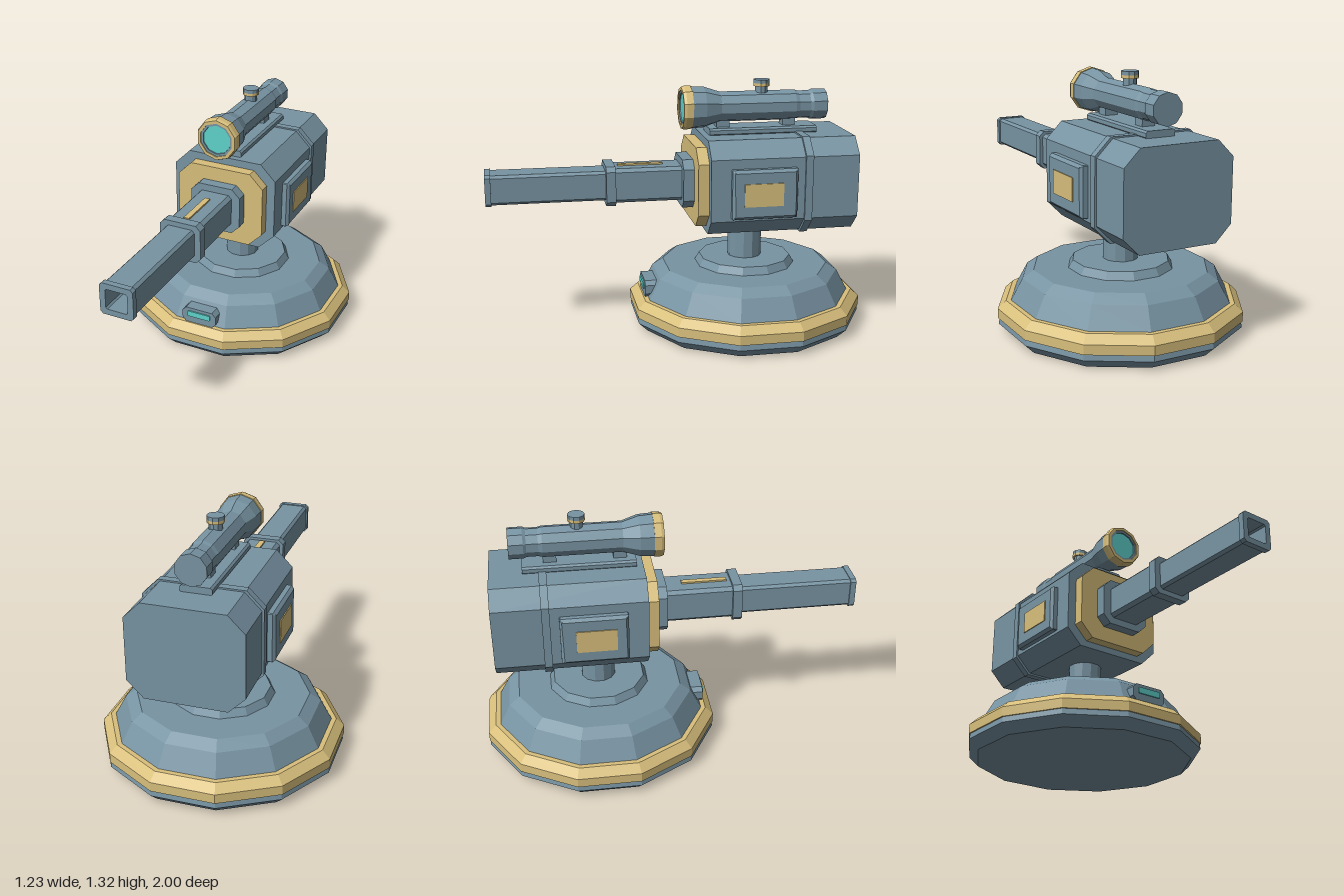
import * as THREE from 'three';

const mat = (name, color) => {
  const m = new THREE.MeshStandardMaterial({ color, flatShading: true });
  m.name = name;
  return m;
};

export function createModel() {
  const slate = mat('slate', 0x7894a3);
  const gold = mat('gold', 0xd8bf7c);
  const cyan = mat('cyan', 0x5fd3cc);
  const model = new THREE.Group();
  model.name = 'turret';
  const BASE_Z = -0.385, BARREL_Y = 0.793, SCOPE_Y = 1.18;

  function add(name, geo, material, x = 0, y = 0, z = 0) {
    const m = new THREE.Mesh(geo, material);
    m.name = name;
    m.position.set(x, y, z);
    model.add(m);
    return m;
  }

  // Rectangle outline with cut corners
  function outline(Type, hw, hh, c) {
    const p = new Type();
    [[hw, c - hh], [hw, hh - c], [hw - c, hh], [c - hw, hh],
      [-hw, hh - c], [-hw, c - hh], [c - hw, -hh], [hw - c, -hh]]
      .forEach(([x, y], i) => (i ? p.lineTo(x, y) : p.moveTo(x, y)));
    p.closePath();
    return p;
  }

  // Cut-corner block running along z, with an optional rectangular bore
  function block(name, hw, hh, c, y, z0, z1, material = slate, bore = null) {
    const s = outline(THREE.Shape, hw, hh, c);
    if (bore) s.holes.push(outline(THREE.Path, ...bore));
    const g = new THREE.ExtrudeGeometry(s, { depth: z1 - z0, bevelEnabled: false });
    return add(name, g, material, 0, y, z0);
  }

  // Twelve-sided turned part; radii are measured to the flats
  function turned(name, pts, material) {
    const k = 1 / Math.cos(Math.PI / 12);
    const g = new THREE.LatheGeometry(
      pts.map(([r, y]) => new THREE.Vector2(r * k, y)), 12, Math.PI / 12);
    return add(name, g, material, 0, 0, BASE_Z);
  }

  // Ten-sided turned part along the sight axis; points are [radius, z]
  function sight(name, pts, material) {
    const g = new THREE.LatheGeometry(pts.map(([r, z]) => new THREE.Vector2(r, z)), 10);
    g.rotateX(Math.PI / 2);
    return add(name, g, material, 0, SCOPE_Y, 0);
  }

  // Pedestal
  turned('baseFoot', [[0, 0], [0.56, 0], [0.61, 0.05], [0.605, 0.08]], slate);
  turned('baseBand', [[0.59, 0.08], [0.613, 0.08], [0.613, 0.13], [0.572, 0.17], [0.54, 0.17]], gold);
  turned('baseDome', [[0.55, 0.165], [0.49, 0.28], [0.435, 0.32], [0, 0.32]], slate);
  turned('baseStep', [[0.262, 0.32], [0.24, 0.36], [0, 0.36]], slate);
  turned('column', [[0.088, 0.35], [0.088, 0.56]], slate);

  // Lamp on the front of the pedestal
  block('lampHousing', 0.1, 0.045, 0.022, 0.215, 0.08, 0.18);
  block('lampGlass', 0.068, 0.016, 0.005, 0.226, 0.18, 0.187, cyan);

  // Main housing
  block('housing', 0.293, 0.248, 0.085, 0.793, -0.92, -0.135);
  block('housingRib', 0.303, 0.257, 0.085, 0.792, -0.67, -0.63);
  block('frontPlate', 0.246, 0.21, 0.075, 0.79, -0.135, -0.078, gold);

  // Barrel
  block('barrelCollar', 0.142, 0.129, 0.045, BARREL_Y, -0.078, -0.02);
  block('barrelRear', 0.095, 0.091, 0.018, BARREL_Y, -0.02, 0.34);
  block('barrelSleeve', 0.113, 0.105, 0.025, BARREL_Y, 0.33, 0.38);
  block('barrelCore', 0.076, 0.074, 0.01, BARREL_Y, 0.38, 0.85);
  block('barrelFront', 0.08, 0.078, 0.014, BARREL_Y, 0.38, 0.97, slate, [0.058, 0.053, 0.008]);
  block('muzzle', 0.088, 0.083, 0.014, BARREL_Y, 0.97, 1, slate, [0.058, 0.053, 0.008]);
  add('barrelStripe', new THREE.BoxGeometry(0.03, 0.009, 0.24), gold, 0, 0.888, 0.19);

  // Side pads with their inlays
  for (const side of [-1, 1]) {
    const g = new THREE.ExtrudeGeometry(outline(THREE.Shape, 0.172, 0.13, 0.004), {
      depth: 0.035, bevelThickness: 0.015, bevelSize: 0.015, bevelOffset: -0.015, bevelSegments: 1,
    });
    add('sidePad', g, slate, side * 0.283, 0.776, -0.412).rotation.y = side * Math.PI / 2;
    add('sideInlay', new THREE.BoxGeometry(0.008, 0.12, 0.205), gold, side * 0.334, 0.775, -0.403);
  }

  // Sight rail and mounts
  block('rail', 0.08, 0.02, 0.01, 1.056, -0.75, -0.17);
  for (const z of [-0.25, -0.608]) {
    add('sightMount', new THREE.BoxGeometry(0.07, 0.07, 0.068), slate, 0, 1.1, z);
  }

  // Sight
  sight('sightTube', [[0, -0.81], [0.081, -0.81], [0.081, -0.735], [0.074, -0.72],
    [0.074, -0.66], [0.08, -0.64], [0.08, -0.235], [0.108, -0.15], [0.112, -0.08]], slate);
  sight('sightRing', [[0.105, -0.08], [0.116, -0.08], [0.116, -0.045], [0.11, -0.03],
    [0.093, -0.03], [0.093, -0.045]], gold);
  sight('lensFrame', [[0.094, -0.036], [0.08, -0.036], [0.078, -0.045]], slate);
  sight('lens', [[0.08, -0.042], [0, -0.042]], cyan);

  // Adjustment knob
  const knob = (name, r, y0, y1, m) =>
    add(name, new THREE.CylinderGeometry(r, r, y1 - y0, 10), m, 0, (y0 + y1) / 2, -0.463);
  knob('knobStem', 0.034, 1.22, 1.285, slate);
  knob('knobBand', 0.044, 1.285, 1.301, gold);
  knob('knobCap', 0.044, 1.301, 1.32, slate);

  return model;
}
